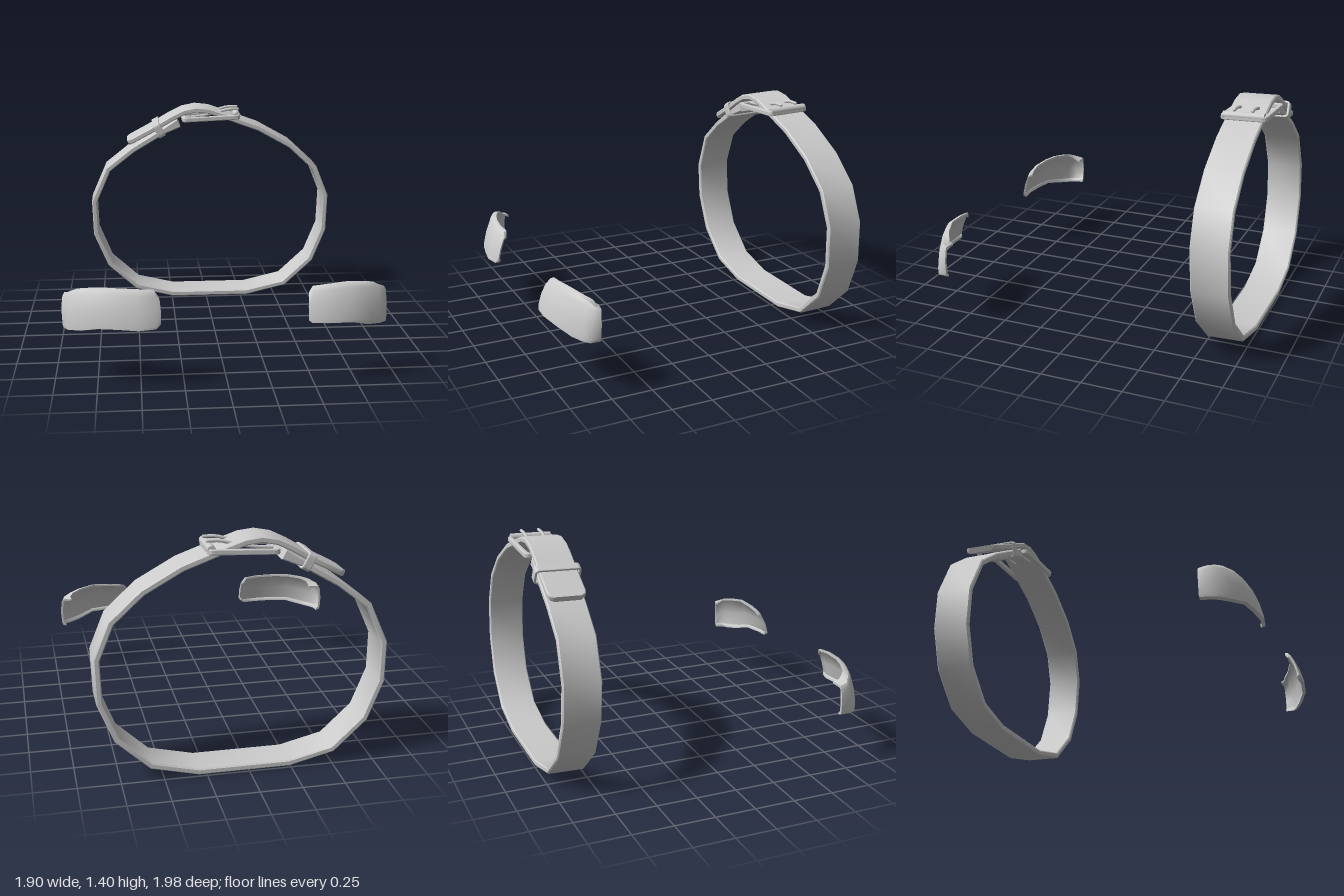
import * as THREE from 'three';
import { toCreasedNormals } from 'three/addons/utils/BufferGeometryUtils.js';

const grey = new THREE.MeshStandardMaterial({ color: 0xcccccc, side: THREE.DoubleSide });

function part(name, geometry, parent) {
  const mesh = new THREE.Mesh(geometry, grey);
  mesh.name = name;
  parent.add(mesh);
  return mesh;
}

// Skins a row of cross-section loops; each loop is one face followed by its opposite face.
function loft(sections, crease = 0.7) {
  const m = sections[0].length, last = (sections.length - 1) * m, index = [];
  for (let i = 0; i < sections.length - 1; i++) {
    for (let j = 0; j < m; j++) {
      const a = i * m + j, b = i * m + (j + 1) % m;
      index.push(a, a + m, b + m, a, b + m, b);
    }
  }
  for (let i = 0; i < m / 2 - 1; i++) {
    const [a, b, c, d] = [i, i + 1, m - 2 - i, m - 1 - i];
    index.push(a, b, c, a, c, d);
    index.push(last + a, last + c, last + b, last + a, last + d, last + c);
  }
  const g = new THREE.BufferGeometry().setFromPoints(sections.flat());
  g.setIndex(index);
  return toCreasedNormals(g, crease);
}

// Flat strap swept along points of [x, y, halfWidth, halfThickness].
function strapGeometry(path) {
  const c = 0.007;
  const pts = path.map(p => new THREE.Vector2(p[0], p[1]));
  return loft(path.map(([x, y, w = 0.115, h = 0.018], i) => {
    const before = pts[i].clone().sub(pts[Math.max(i - 1, 0)]).normalize();
    const after = pts[Math.min(i + 1, pts.length - 1)].clone().sub(pts[i]).normalize();
    const t = before.clone().add(after).normalize();
    const loop = [[h - c, -w], [h, c - w], [h, w - c], [h - c, w],
      [c - h, w], [-h, w - c], [-h, c - w], [c - h, -w]];
    return loop.map(([n, z]) => new THREE.Vector3(x + t.y * n, y - t.x * n, z));
  }));
}

// Curved shell with a folded rim; stations are [bottom xyz, top xyz, lip], running along +x.
function padGeometry(stations) {
  const thick = 0.014;
  const sections = stations.map(([b, t, lip], i) => {
    const p = stations[Math.max(i - 1, 0)][0];
    const q = stations[Math.min(i + 1, stations.length - 1)][0];
    const inward = new THREE.Vector3(q[2] - p[2], 0, p[0] - q[0]).normalize();
    const low = new THREE.Vector3(...b), high = new THREE.Vector3(...t);
    // [share of height, inward offset, rise]
    const rows = [[0, 0.022, -0.002], [0, 0, 0.006], [0.12, -0.006, 0], [0.5, -0.012, 0],
      [0.88, -0.006, 0], [1, 0.004, -0.002], [1, lip, 0.002]];
    const outer = rows.map(([f, n, dy]) => {
      const v = low.clone().lerp(high, f).addScaledVector(inward, n);
      v.y += dy;
      return v;
    });
    const inner = outer.map((v, k) => {
      const w = v.clone();
      if (k > 0 && k < rows.length - 1) w.addScaledVector(inward, thick);
      w.y += k < 2 ? thick : k > rows.length - 3 ? -thick : 0;
      return w;
    });
    return [...outer, ...inner.reverse()];
  });
  return loft(sections, 0.9);
}

function roundedRect(target, w, h, r) {
  const x = w / 2, y = h / 2;
  target.moveTo(r - x, -y);
  target.lineTo(x - r, -y); target.quadraticCurveTo(x, -y, x, r - y);
  target.lineTo(x, y - r); target.quadraticCurveTo(x, y, x - r, y);
  target.lineTo(r - x, y); target.quadraticCurveTo(-x, y, -x, y - r);
  target.lineTo(-x, r - y); target.quadraticCurveTo(-x, -y, r - x, -y);
  return target;
}

// Flat rectangular ring with softened edges, centred on its own depth.
function ringGeometry(w, h, bar, depth, radius) {
  const bevel = 0.006;
  const shape = roundedRect(new THREE.Shape(), w - 2 * bevel, h - 2 * bevel, radius);
  shape.holes.push(roundedRect(new THREE.Path(), w - 2 * bar + 2 * bevel, h - 2 * bar + 2 * bevel, radius * 0.6));
  const g = new THREE.ExtrudeGeometry(shape, {
    depth: depth - 2 * bevel, bevelEnabled: true, bevelSize: bevel, bevelThickness: bevel,
    bevelSegments: 2, curveSegments: 4,
  });
  return g.translate(0, 0, bevel - depth / 2);
}

export function createModel() {
  const model = new THREE.Group();
  model.name = 'beltAndPads';

  const belt = new THREE.Group();
  belt.name = 'belt';
  belt.position.z = -0.885;
  belt.rotation.x = 0.033;
  model.add(belt);

  // One strap: from the end under the buckle, around the loop, over the buckle to the tip
  part('strap', strapGeometry([
    [-0.195, 1.293, 0.113, 0.031], [-0.3, 1.238, 0.115, 0.02], [-0.52, 1.105], [-0.695, 0.967],
    [-0.797, 0.735], [-0.79, 0.5], [-0.695, 0.27], [-0.502, 0.093], [-0.238, 0.03],
    [0.298, 0.03], [0.572, 0.095], [0.765, 0.275], [0.855, 0.5], [0.863, 0.755],
    [0.777, 0.963], [0.6, 1.125], [0.375, 1.25], [0.25, 1.295],
    [0.17, 1.325], [0.1, 1.348], [0.02, 1.375], [-0.07, 1.385], [-0.16, 1.367],
    [-0.25, 1.322], [-0.34, 1.268], [-0.515, 1.174], [-0.535, 1.163, 0.106], [-0.55, 1.155, 0.085],
  ]), belt);

  // Keeper loop around both layers
  const keeper = part('keeperLoop', ringGeometry(0.28, 0.108, 0.016, 0.052, 0.022), belt);
  keeper.position.set(-0.332, 1.246, 0);
  keeper.rotation.set(0, Math.PI / 2, 0);
  keeper.rotation.order = 'ZYX';
  keeper.rotation.z = 0.5;

  // Buckle frame with a roller bar and two prongs
  const buckle = new THREE.Group();
  buckle.name = 'buckle';
  belt.add(buckle);
  const frame = part('buckleFrame', ringGeometry(0.41, 0.285, 0.028, 0.032, 0.03).rotateX(Math.PI / 2), buckle);
  frame.position.set(0.035, 1.327, 0);
  frame.rotation.z = 0.045;
  const roller = part('rollerBar', new THREE.CylinderGeometry(0.024, 0.024, 0.25, 12).rotateX(Math.PI / 2), buckle);
  roller.position.set(0.217, 1.346, 0);
  for (const z of [-0.055, 0.055]) {
    const curve = new THREE.CatmullRomCurve3([
      [-0.155, 1.325], [-0.02, 1.338], [0.09, 1.362], [0.16, 1.38], [0.228, 1.382],
    ].map(([x, y]) => new THREE.Vector3(x, y, z)));
    part('prong', new THREE.TubeGeometry(curve, 14, 0.01, 8), buckle);
    part('prongTip', new THREE.SphereGeometry(0.01, 8, 6), buckle).position.set(0.228, 1.382, z);
  }

  // Two curved front pads
  part('rightPad', padGeometry([
    [[-0.945, 0.34, 0.73], [-0.938, 0.53, 0.725], 0.08],
    [[-0.94, 0.335, 0.8], [-0.93, 0.542, 0.775], 0.07],
    [[-0.915, 0.335, 0.845], [-0.885, 0.563, 0.81], 0.045],
    [[-0.845, 0.345, 0.895], [-0.835, 0.575, 0.84], 0.035],
    [[-0.74, 0.368, 0.942], [-0.735, 0.588, 0.875], 0.03],
    [[-0.63, 0.368, 0.965], [-0.635, 0.588, 0.898], 0.025],
    [[-0.51, 0.362, 0.982], [-0.51, 0.583, 0.91], 0.025],
    [[-0.41, 0.364, 0.965], [-0.415, 0.575, 0.9], 0.025],
    [[-0.385, 0.385, 0.95], [-0.392, 0.545, 0.9], 0.02],
  ]), model);
  part('leftPad', padGeometry([
    [[0.458, 0.395, 0.975], [0.464, 0.555, 0.915], 0.02],
    [[0.475, 0.384, 0.982], [0.488, 0.578, 0.91], 0.025],
    [[0.57, 0.38, 0.985], [0.58, 0.588, 0.91], 0.025],
    [[0.72, 0.374, 0.962], [0.71, 0.598, 0.895], 0.025],
    [[0.825, 0.343, 0.912], [0.82, 0.583, 0.86], 0.03],
    [[0.89, 0.335, 0.875], [0.88, 0.568, 0.83], 0.035],
    [[0.932, 0.335, 0.845], [0.925, 0.548, 0.81], 0.05],
    [[0.94, 0.337, 0.785], [0.938, 0.537, 0.778], 0.065],
  ]), model);

  return model;
}
